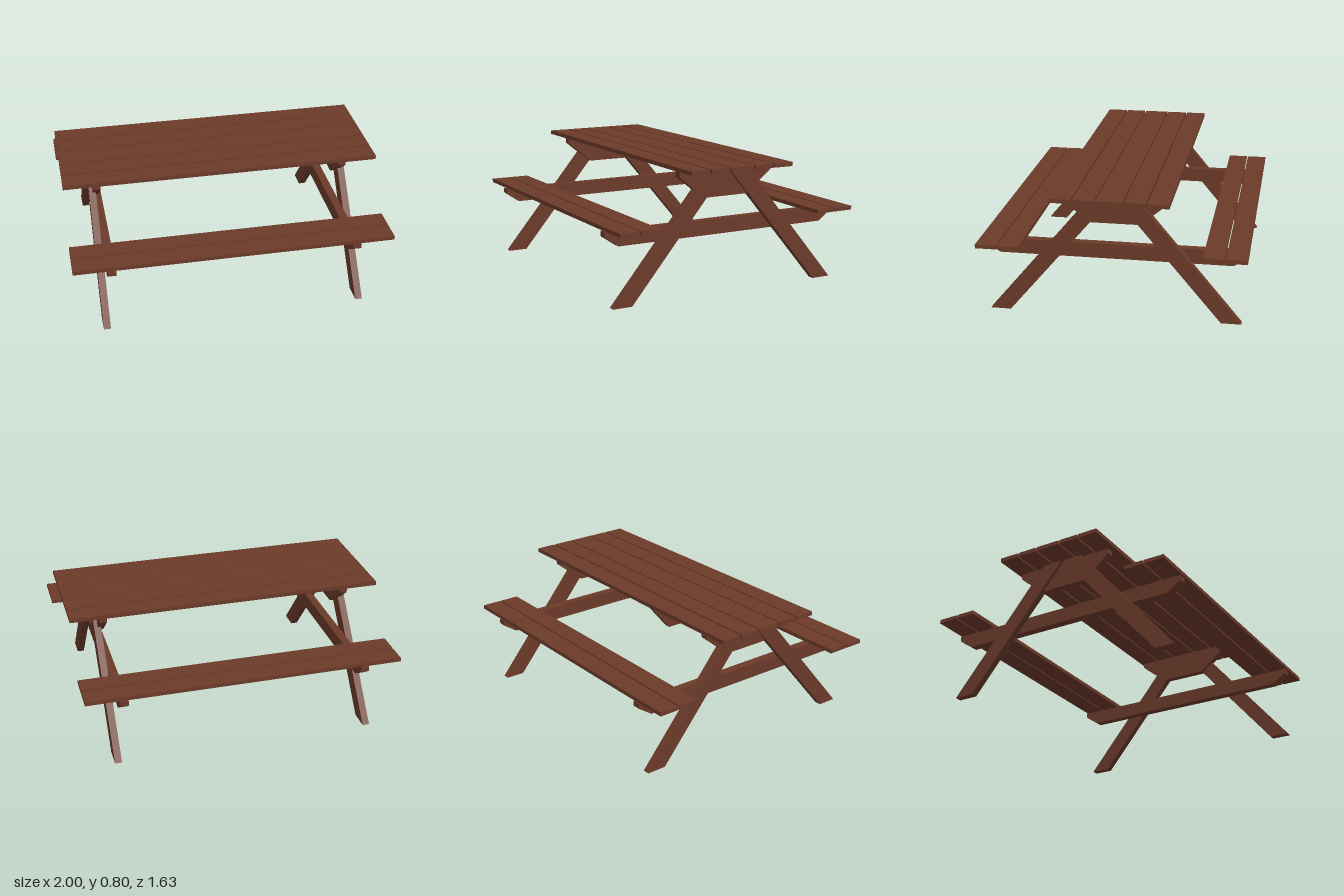
import * as THREE from 'three';

const wood = new THREE.MeshStandardMaterial({ color: 0x6b3a29, flatShading: true });

// Side outline given as [z, y] points, extruded across x from x0 to x1
function sideBoard(name, points, x0, x1) {
  const shape = new THREE.Shape(points.map(([z, y]) => new THREE.Vector2(-z, y)));
  const geometry = new THREE.ExtrudeGeometry(shape, { depth: x1 - x0, bevelEnabled: false });
  geometry.rotateY(Math.PI / 2);
  geometry.translate(x0, 0, 0);
  const mesh = new THREE.Mesh(geometry, wood);
  mesh.name = name;
  return mesh;
}

// Full-length plank lying flat between two z positions
function plank(name, z0, z1, y0, y1) {
  const mesh = new THREE.Mesh(new THREE.BoxGeometry(2, y1 - y0, z1 - z0), wood);
  mesh.position.set(0, (y0 + y1) / 2, (z0 + z1) / 2);
  mesh.name = name;
  return mesh;
}

// Crossbar outline with its lower corners cut off
function crossbar(top, bottom, shoulder, halfTop, halfBottom) {
  return [
    [-halfTop, top], [-halfTop, shoulder], [-halfBottom, bottom],
    [halfBottom, bottom], [halfTop, shoulder], [halfTop, top],
  ];
}

export function createModel() {
  const table = new THREE.Group();
  table.name = 'picnicTable';

  // Table top: a wide middle plank with two narrower ones on each side
  const tableTop = new THREE.Group();
  tableTop.name = 'tableTop';
  tableTop.add(plank('middlePlank', -0.079, 0.079, 0.779, 0.804));
  table.add(tableTop);

  for (const s of [1, -1]) {
    for (const [a, b] of [[0.088, 0.216], [0.226, 0.355]]) {
      tableTop.add(plank('topPlank', Math.min(s * a, s * b), Math.max(s * a, s * b), 0.779, 0.804));
    }
    // Bench seats: two planks each
    const bench = new THREE.Group();
    bench.name = s > 0 ? 'frontBench' : 'backBench';
    for (const [a, b] of [[0.551, 0.677], [0.686, 0.814]]) {
      bench.add(plank('seatPlank', Math.min(s * a, s * b), Math.max(s * a, s * b), 0.464, 0.488));
    }
    table.add(bench);
  }

  // End frames: splayed legs, top cleat and seat beam, mirrored in x
  for (const s of [1, -1]) {
    const frame = new THREE.Group();
    frame.name = s > 0 ? 'leftFrame' : 'rightFrame';
    const span = (a, b) => (s > 0 ? [a, b] : [-b, -a]);
    for (const t of [1, -1]) {
      const leg = [[0.78, 0], [0.137, 0.77], [0.008, 0.77], [0.655, 0]].map(([z, y]) => [t * z, y]);
      frame.add(sideBoard(t > 0 ? 'frontLeg' : 'backLeg', leg, ...span(0.79, 0.834)));
    }
    frame.add(sideBoard('topCleat', crossbar(0.769, 0.599, 0.738, 0.325, 0.153), ...span(0.766, 0.811)));
    frame.add(sideBoard('seatBeam', crossbar(0.455, 0.362, 0.424, 0.81, 0.72), ...span(0.738, 0.79)));
    table.add(frame);
  }
  return table;
}
